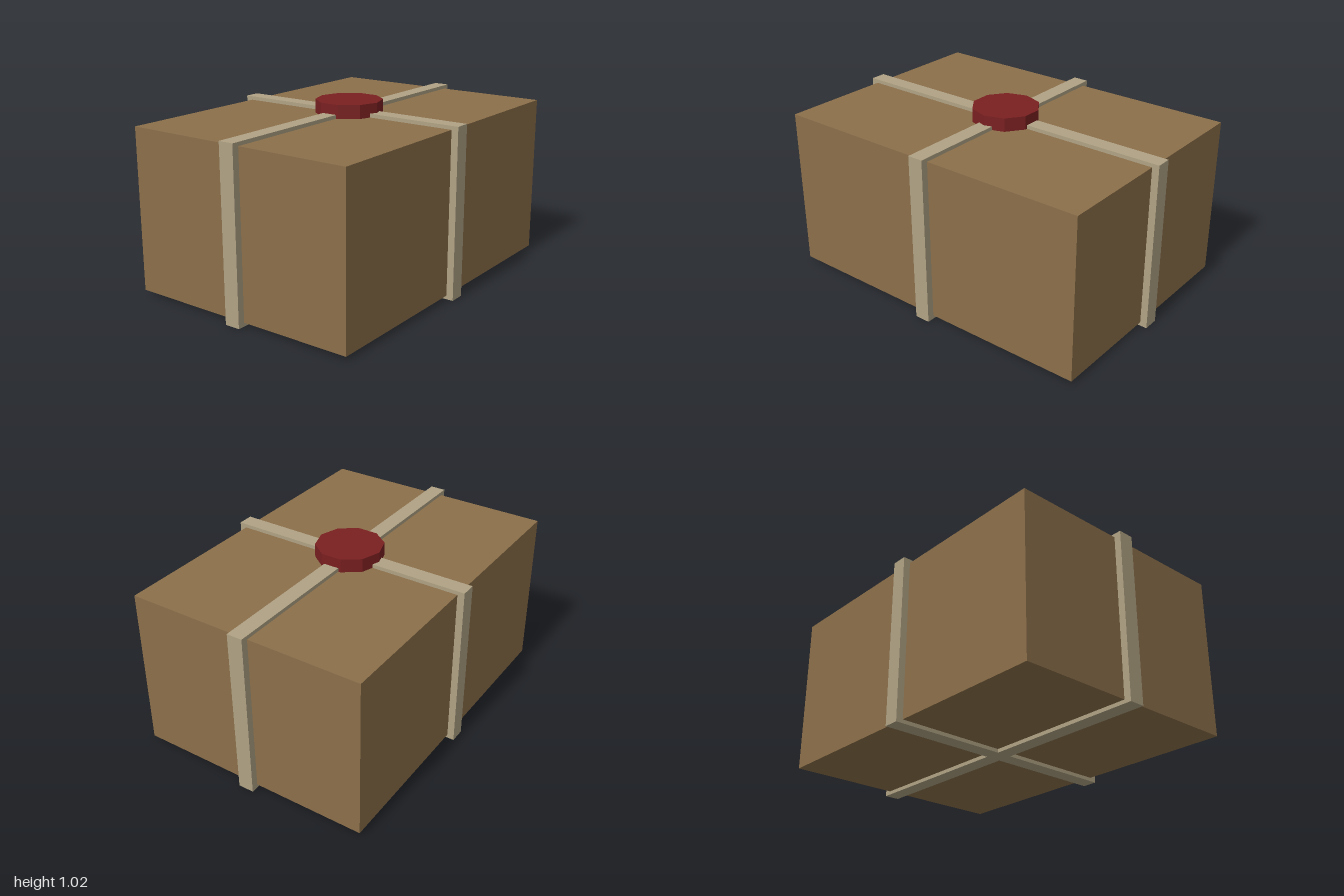
import * as THREE from 'three';

const cardboard = new THREE.MeshStandardMaterial({ color: 0x8b6f4a });
cardboard.name = 'cardboard';
const twine = new THREE.MeshStandardMaterial({ color: 0xb0a284 });
twine.name = 'twine';
const wax = new THREE.MeshStandardMaterial({ color: 0x7a1f20, flatShading: true });
wax.name = 'wax';

export function createModel() {
  const group = new THREE.Group();

  function add(name, geometry, material, y) {
    const mesh = new THREE.Mesh(geometry, material);
    mesh.name = name;
    mesh.position.y = y;
    group.add(mesh);
  }

  // parcel body
  add('parcelBox', new THREE.BoxGeometry(1.92, 0.923, 1.38), cardboard, 0.4825);

  // two straps that wrap the parcel and cross in the middle
  add('strapLengthwise', new THREE.BoxGeometry(2, 0.965, 0.09), twine, 0.4825);
  add('strapCrosswise', new THREE.BoxGeometry(0.09, 0.965, 1.46), twine, 0.4825);

  // ten-sided wax seal over the crossing
  add('waxSeal', new THREE.CylinderGeometry(0.19, 0.19, 0.077, 10), wax, 0.9825);

  return group;
}
